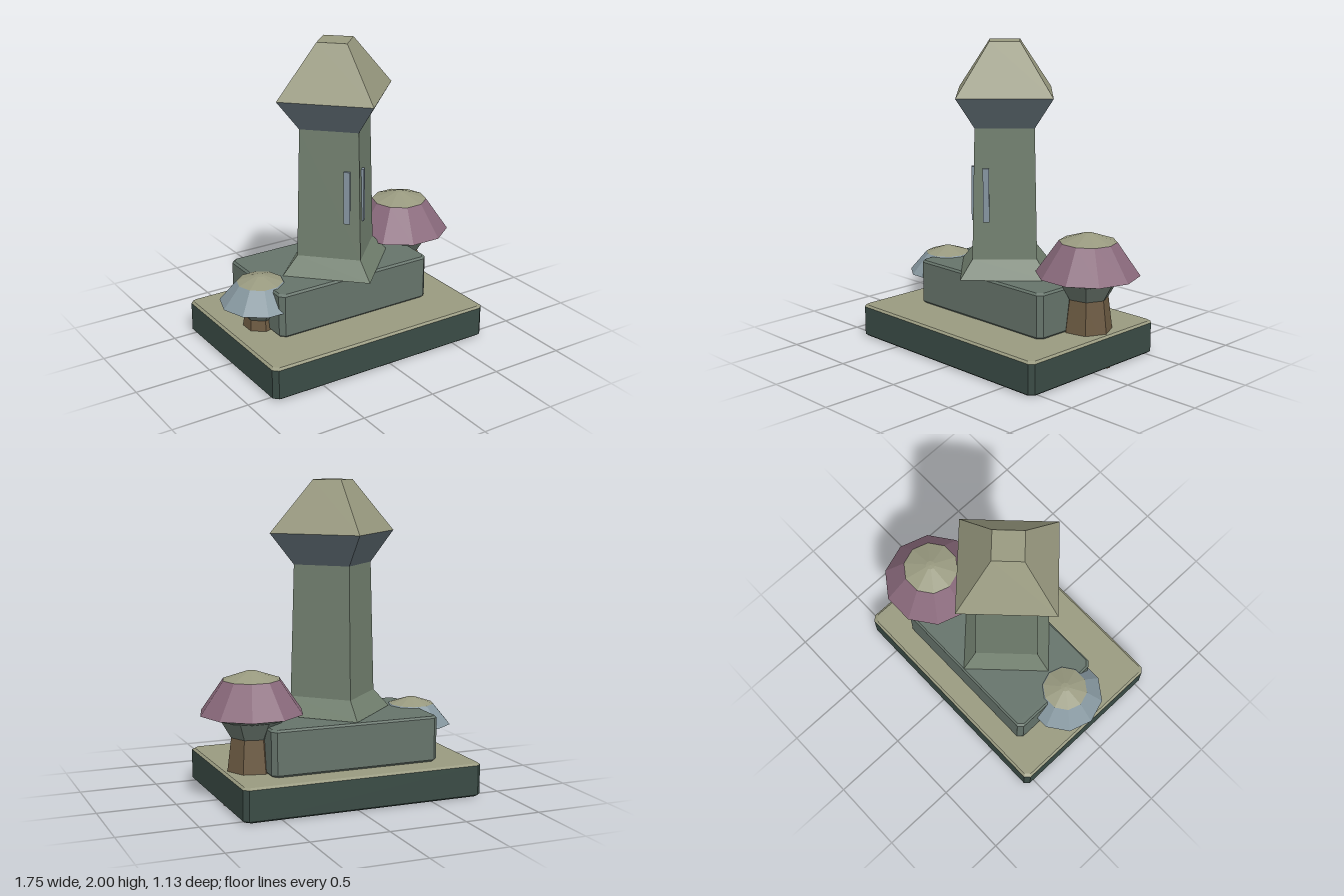
import * as THREE from 'three';
import { ConvexGeometry } from 'three/addons/geometries/ConvexGeometry.js';

const COLORS = {
  khaki: 0x98997f, tower: 0x72806f, slab: 0x65736a, base: 0x3a4b45,
  slate: 0x606d74, pane: 0x8594a0, plum: 0x8a6a7c, blue: 0x8798a0,
  gill: 0x66736a, bark: 0x6c5a42,
};

function addMesh(parent, name, geometry, color) {
  const material = new THREE.MeshStandardMaterial({ color: COLORS[color], flatShading: true });
  const mesh = new THREE.Mesh(geometry, material);
  mesh.name = name;
  parent.add(mesh);
  return mesh;
}

// Faceted solid of revolution; profile is [radius, y] from bottom to top
function turned(profile, sides) {
  const points = profile.map(([r, y]) => new THREE.Vector2(r, y));
  return new THREE.LatheGeometry(points, sides, Math.PI / 2);
}

// Block with cut corners; levels are [y, inset]
function block(width, depth, cut, levels) {
  const points = [];
  for (const [y, inset] of levels) {
    const w = width / 2 - inset, d = depth / 2 - inset;
    for (const sx of [-1, 1]) for (const sz of [-1, 1]) {
      points.push(new THREE.Vector3(sx * w, y, sz * (d - cut)));
      points.push(new THREE.Vector3(sx * (w - cut), y, sz * d));
    }
  }
  return new ConvexGeometry(points);
}

function mushroom(name, x, z, capColor, p) {
  const group = new THREE.Group();
  group.name = name;
  group.position.set(x, 0, z);
  // Seven-sided stem reaching through the base
  addMesh(group, 'stem', turned([[0, -0.001], [p.footR, -0.001], [p.neckR, p.neckY]], 7), 'bark');
  addMesh(group, 'stemCollar', turned([[p.neckR, p.neckY], [p.collarR, p.collarY], [0, p.collarY]], 7), 'gill');
  // Ten-sided cap: underside, coloured band and pale crown
  addMesh(group, 'capUnderside', turned([[0, p.collarY], [p.collarR, p.collarY], [p.rimR, p.rimY]], 10), 'gill');
  addMesh(group, 'capBand', turned([[p.rimR, p.rimY], [p.crownR, p.crownY]], 10), capColor);
  addMesh(group, 'capCrown', turned([[p.crownR, p.crownY], [0.03, p.topY - 0.003], [0, p.topY]], 10), 'khaki');
  return group;
}

export function createModel() {
  const model = new THREE.Group();
  const centerX = -0.055;

  // Base with a pale top layer
  addMesh(model, 'base', block(1.59, 1.13, 0.03, [[0, 0.015], [0.012, 0], [0.203, 0]]), 'base').position.x = centerX;
  addMesh(model, 'baseTop', block(1.59, 1.13, 0.03, [[0.203, 0], [0.215, 0.015]]), 'khaki').position.x = centerX;

  // Plinth under the tower
  const plinth = block(1.12, 0.66, 0.03, [[0.215, 0.012], [0.228, 0], [0.497, 0], [0.51, 0.012]]);
  addMesh(model, 'plinth', plinth, 'slab').position.set(centerX, 0, -0.08);

  // Square tower turned corner-on, with flared foot and widening roof
  const tower = new THREE.Group();
  tower.name = 'tower';
  tower.position.x = centerX;
  addMesh(tower, 'towerShaft', turned([[0, 0.513], [0.4, 0.513], [0.29, 0.63], [0.265, 1.47]], 4), 'tower');
  addMesh(tower, 'eaves', turned([[0.265, 1.47], [0.425, 1.67]], 4), 'slate');
  addMesh(tower, 'roof', turned([[0.425, 1.67], [0.135, 2], [0, 2]], 4), 'khaki');

  // Slit windows mirrored about the front corner
  for (const side of [-1, 1]) {
    const face = new THREE.Group();
    face.name = side > 0 ? 'leftWindow' : 'rightWindow';
    face.rotation.y = side * Math.PI / 4;
    const pane = addMesh(face, 'windowPane', new THREE.BoxGeometry(0.04, 0.345, 0.03), 'pane');
    pane.position.set(-side * 0.117, 1.045, 0.195);
    tower.add(face);
  }
  model.add(tower);

  model.add(mushroom('largeMushroom', 0.545, -0.135, 'plum', {
    footR: 0.19, neckR: 0.135, neckY: 0.425, collarR: 0.2, collarY: 0.535,
    rimR: 0.33, rimY: 0.575, crownR: 0.183, crownY: 0.785, topY: 0.84,
  }));
  model.add(mushroom('smallMushroom', -0.62, -0.005, 'blue', {
    footR: 0.14, neckR: 0.105, neckY: 0.285, collarR: 0.16, collarY: 0.355,
    rimR: 0.26, rimY: 0.385, crownR: 0.148, crownY: 0.517, topY: 0.56,
  }));
  return model;
}
